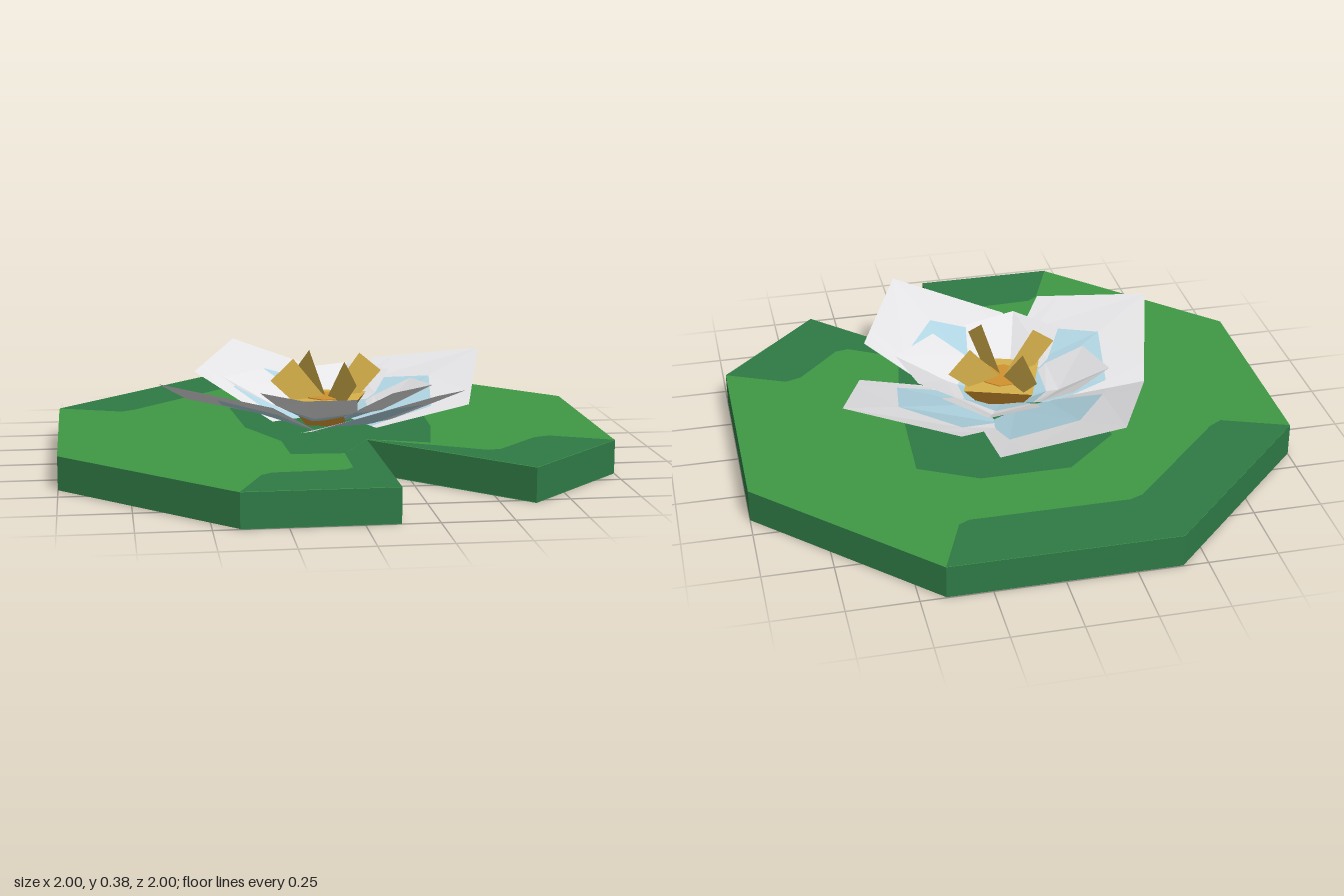
import * as THREE from 'three';

const mat = (name, color, side = THREE.FrontSide) => {
  const m = new THREE.MeshStandardMaterial({ color, side, flatShading: true });
  m.name = name;
  return m;
};

export function createModel() {
  const both = THREE.DoubleSide;
  const leaf = mat('leafGreen', 0x3f9844);
  const darkLeaf = mat('darkGreen', 0x2f7a46, both);
  const white = mat('petalWhite', 0xe4e4e6, both);
  const blue = mat('petalBlue', 0xb0d5e2, both);
  const yellow = mat('stamenYellow', 0xd6b04a, both);
  const orange = mat('stamenOrange', 0xd2922f, both);

  const model = new THREE.Group();
  model.name = 'waterLily';

  const add = (parent, name, geometry, material) => {
    const mesh = new THREE.Mesh(geometry, material);
    mesh.name = name;
    parent.add(mesh);
    return mesh;
  };

  // Shape drawn in x and z, laid flat later
  const flatShape = (pts) => new THREE.Shape(pts.map(([x, z]) => new THREE.Vector2(x, -z)));

  // Pad: octagon with a wedge cut out of the front
  const outline = [
    [-0.41, 1], [0.12, 1], [0.11, 0.29], [0.62, 0.79], [1, 0.41],
    [1, -0.41], [0.41, -1], [-0.41, -1], [-1, -0.41], [-1, 0.41],
  ];
  const padGeo = new THREE.ExtrudeGeometry(flatShape(outline), { depth: 0.122, bevelEnabled: false });
  padGeo.rotateX(-Math.PI / 2).translate(0, 0.002, 0);
  add(model, 'pad', padGeo, [leaf, darkLeaf]);

  // Dark markings on the pad
  const backMark = [
    [0.41, -1], [0.32, -0.77], [0.28, -0.75], [-0.29, -0.75], [-0.34, -0.73],
    [-0.71, -0.35], [-0.76, -0.32], [-1, -0.41], [-0.41, -1],
  ];
  const frontMark = [
    [-0.41, 1], [-0.32, 0.78], [-0.28, 0.75], [-0.03, 0.74], [0, 0.71],
    [0, 0.5], [0.11, 0.29], [0.12, 1],
  ];
  const rightMark = [
    [1, 0.41], [0.78, 0.31], [0.72, 0.33], [0.56, 0.5], [0.51, 0.51],
    [0.37, 0.43], [0.11, 0.29], [0.62, 0.79],
  ];
  const centreMark = [
    [0.19, -0.51], [-0.14, -0.51], [-0.34, -0.33], [-0.31, 0.03], [-0.2, 0.28],
    [-0.19, 0.49], [0, 0.5], [0.11, 0.29], [0.33, 0.37], [0.38, 0.1], [0.4, -0.4],
  ];
  const mark = (name, pts, y) => {
    const g = new THREE.ShapeGeometry(flatShape(pts));
    add(model, name, g.rotateX(-Math.PI / 2).translate(0, y, 0), darkLeaf);
  };
  mark('backMarking', backMark, 0.1255);
  mark('centreMarking', centreMark, 0.126);
  for (const [side, y] of [['top', 0.1255], ['underside', 0]]) {
    mark(side + 'FrontMarking', frontMark, y);
    mark(side + 'RightMarking', rightMark, y);
  }

  // Surface between two three-point rows, u from row to row, v from -1 to 1 across
  const V = (p) => new THREE.Vector3(...p);
  const across = (row, v) => (v < 0
    ? V(row[1]).lerp(V(row[0]), -v)
    : V(row[1]).lerp(V(row[2]), v));
  const patch = (rowA, rowB, u0, u1, vs) => {
    const at = (u, v) => across(rowA, v).lerp(across(rowB, v), u).toArray();
    const pos = [];
    for (let i = 0; i + 1 < vs.length; i++) {
      const a = at(u0, vs[i]), b = at(u1, vs[i]);
      const c = at(u1, vs[i + 1]), d = at(u0, vs[i + 1]);
      pos.push(...a, ...b, ...c, ...a, ...c, ...d);
    }
    const g = new THREE.BufferGeometry();
    g.setAttribute('position', new THREE.Float32BufferAttribute(pos, 3));
    g.computeVertexNormals();
    return g;
  };

  // Rows of the large petal and the small petal, base to rim
  const outerBase = [[0.04, 0.13, -0.2], [0.1, 0.135, -0.03], [0.17, 0.13, 0.12]];
  const outerRim = [[0.25, 0.29, -0.48], [0.64, 0.35, -0.3], [0.52, 0.21, 0.12]];
  const innerBase = [[0.06, 0.14, -0.03], [0, 0.14, -0.03], [-0.03, 0.14, -0.06]];
  const innerMid = [[0.2, 0.22, -0.1], [0.08, 0.19, -0.2], [-0.09, 0.21, -0.19]];
  const innerRim = [[0.27, 0.29, -0.21], [0.13, 0.29, -0.38], [-0.07, 0.28, -0.33]];

  for (let k = 0; k < 4; k++) {
    const quarter = new THREE.Group();
    quarter.name = 'petalQuarter' + (k + 1);
    quarter.rotation.y = k * Math.PI / 2;
    model.add(quarter);

    // Large petal: blue heart, white margin
    add(quarter, 'outerPetalHeart', patch(outerBase, outerRim, 0, 0.6, [-0.8, 0, 0.8]), blue);
    add(quarter, 'outerPetalEdge', patch(outerBase, outerRim, 0, 0.6, [-1, -0.8]), white);
    add(quarter, 'outerPetalEdge', patch(outerBase, outerRim, 0, 0.6, [0.8, 1]), white);
    add(quarter, 'outerPetalTip', patch(outerBase, outerRim, 0.6, 1, [-1, -0.8, 0, 0.8, 1]), white);

    // Small upright petal
    add(quarter, 'innerPetalHeart', patch(innerBase, innerMid, 0, 0.75, [-1, 0, 1]), blue);
    add(quarter, 'innerPetalMiddle', patch(innerBase, innerMid, 0.75, 1, [-1, 0, 1]), white);
    add(quarter, 'innerPetalTip', patch(innerMid, innerRim, 0, 1, [-1, 0, 1]), white);

    // Stamen: upright blade leaning outward
    const blade = flatShape([[0, -0.22], [0.14, -0.385], [0.234, -0.31], [0.05, -0.14]]);
    add(quarter, 'stamen', new THREE.ShapeGeometry(blade), yellow).rotation.y = 0.36;
  }

  // Flower centre: square flared block with an orange spot
  const centre = new THREE.Group();
  centre.name = 'flowerCentre';
  centre.rotation.y = 0.46;
  model.add(centre);
  const block = new THREE.CylinderGeometry(0.18, 0.09, 0.1, 4);
  add(centre, 'centreBlock', block.translate(0, 0.18, 0), [orange, yellow, orange]);
  const spot = new THREE.CylinderGeometry(0.08, 0.08, 0.004, 8);
  add(centre, 'centreSpot', spot.translate(0, 0.232, 0), orange);

  return model;
}
